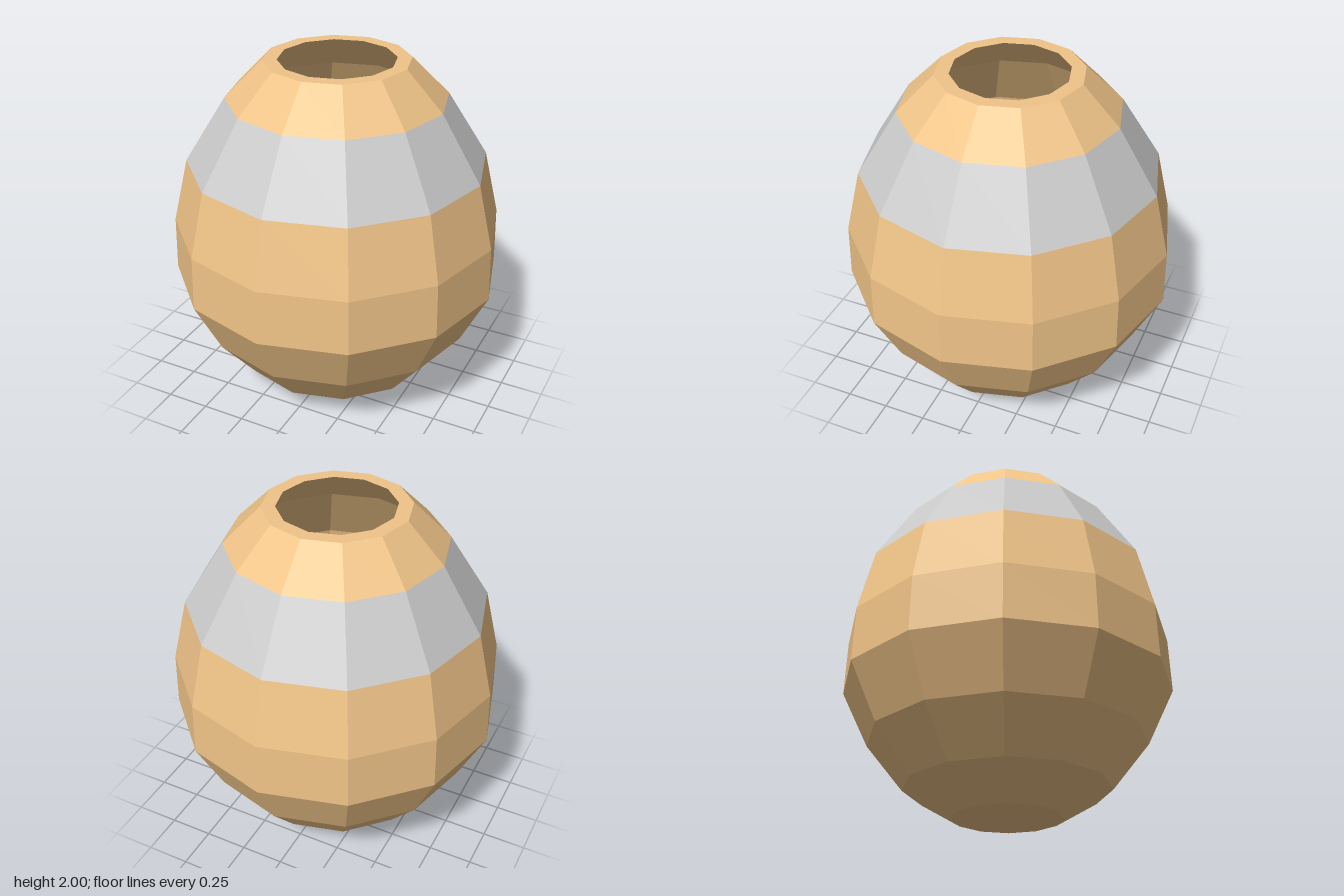
import * as THREE from 'three';

const SIDES = 12;

// One ring-shaped part, lathed from [radius, height] points
function lathePart(name, profile, color) {
  const points = profile.map(([r, y]) => new THREE.Vector2(r, y));
  const material = new THREE.MeshStandardMaterial({ color, flatShading: true });
  const mesh = new THREE.Mesh(new THREE.LatheGeometry(points, SIDES), material);
  mesh.name = name;
  return mesh;
}

export function createModel() {
  const clay = 0xf0c488;
  const grey = 0xcccccc;
  const wall = 0.08;

  // Outer silhouette, bottom to top
  const outer = [
    [0.31, 0], [0.58, 0.16], [0.79, 0.42], [0.945, 0.74],
    [0.935, 1.055], [0.845, 1.425], [0.615, 1.79], [0.405, 2],
  ];
  // Cavity follows the outer wall at a constant thickness, top to floor
  const inner = outer.slice(1).reverse().map(([r, y]) => [r - wall, y]);

  const group = new THREE.Group();
  group.name = 'pot';
  group.add(
    lathePart('body', [[0, 0], ...outer.slice(0, 6)], clay),
    lathePart('greyBand', outer.slice(5, 7), grey),
    lathePart('shoulder', outer.slice(6), clay),
    lathePart('rim', [outer[7], inner[0]], clay),
    lathePart('interior', [...inner, [0, 0.16]], clay),
  );
  return group;
}
